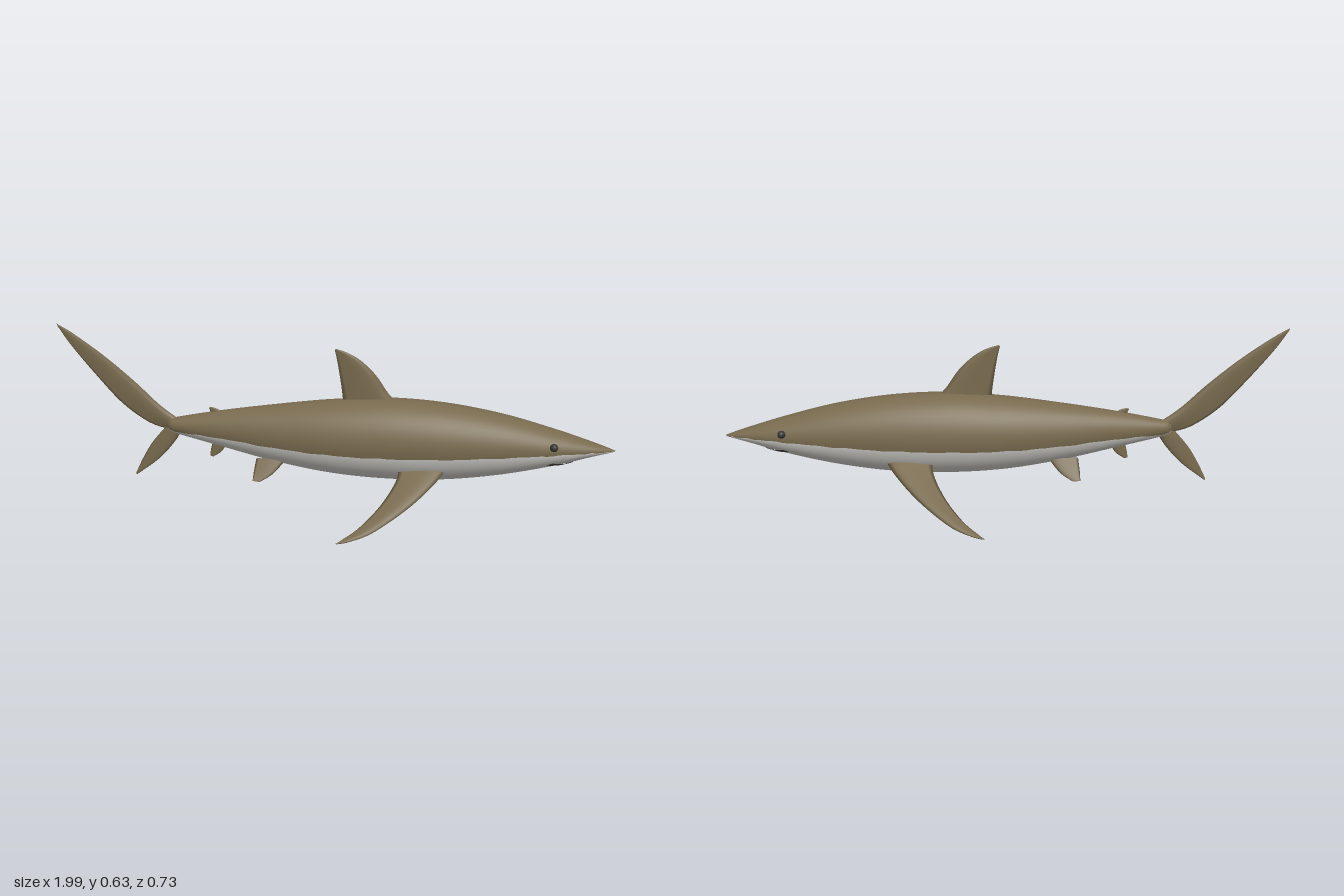
import * as THREE from 'three';

const paint = (name, color) => {
  const m = new THREE.MeshStandardMaterial({ color });
  m.name = name;
  return m;
};
const V = (x, y, z = 0) => new THREE.Vector3(x, y, z);
const smoothCurve = (pts) => new THREE.CatmullRomCurve3(pts, false, 'catmullrom', 0.5);

// Skins closed rings of points; pick(i, j) gives the material index of each quad.
function loft(name, rings, materials, pick) {
  const n = rings[0].length;
  const buckets = materials.map(() => []);
  for (let i = 0; i < rings.length - 1; i++) {
    for (let j = 0; j < n; j++) {
      const k = (j + 1) % n;
      const a = i * n + j, b = (i + 1) * n + j, c = (i + 1) * n + k, d = i * n + k;
      buckets[pick(i, j)].push(a, b, c, a, c, d);
    }
  }
  const geo = new THREE.BufferGeometry().setFromPoints(rings.flat());
  geo.setIndex(buckets.flat());
  let start = 0;
  buckets.forEach((b, m) => {
    geo.addGroup(start, b.length, m);
    start += b.length;
  });
  geo.computeVertexNormals();
  const mesh = new THREE.Mesh(geo, materials);
  mesh.name = name;
  return mesh;
}

// Lens-section fin between a leading and a trailing edge, from root to tip.
function fin(name, lead, trail, thick, materials, tipFrom = 2) {
  const A = smoothCurve(lead), B = smoothCurve(trail);
  const rows = 24, cols = 10, rings = [];
  const mid = (t) => A.getPoint(t).add(B.getPoint(t)).multiplyScalar(0.5);
  for (let i = 0; i <= rows; i++) {
    const t = i / rows;
    const a = A.getPoint(t), b = B.getPoint(t);
    const span = mid(Math.min(1, t + 0.02)).sub(mid(Math.max(0, t - 0.02)));
    const normal = span.cross(b.clone().sub(a)).normalize();
    const half = i === rows ? 0 : thick * (1 - 0.85 * t) / 2;
    const ring = [];
    for (let j = 0; j < cols * 2; j++) {
      const v = j <= cols ? j / cols : 2 - j / cols;
      const bulge = half * Math.sin(Math.PI * Math.pow(v, 0.65)) * (j <= cols ? 1 : -1);
      ring.push(a.clone().lerp(b, v).addScaledVector(normal, bulge));
    }
    rings.push(ring);
  }
  return loft(name, rings, materials, (i, j) => {
    if (materials.length === 1) return 0;
    if (j >= cols) return 1;
    return i / rows >= tipFrom ? 2 : 0;
  });
}

// Body stations: x, top y, bottom y, half width, height of the colour line
const stations = [
  [-0.605, 0.272, 0.268, 0.002, 0.27], [-0.595, 0.292, 0.25, 0.016, 0.26],
  [-0.56, 0.303, 0.238, 0.03, 0.252], [-0.4, 0.334, 0.2, 0.057, 0.246],
  [-0.2, 0.365, 0.155, 0.09, 0.231], [0, 0.391, 0.124, 0.117, 0.223],
  [0.2, 0.405, 0.113, 0.127, 0.223], [0.4, 0.396, 0.12, 0.122, 0.228],
  [0.6, 0.365, 0.148, 0.103, 0.238], [0.78, 0.319, 0.189, 0.074, 0.247],
  [0.9, 0.283, 0.224, 0.042, 0.25], [0.965, 0.262, 0.241, 0.016, 0.25],
  [0.993, 0.252, 0.248, 0.002, 0.25],
];
const upperCurve = smoothCurve(stations.map((s) => V(s[0], s[1], s[3])));
const lowerCurve = smoothCurve(stations.map((s) => V(s[0], s[2], s[4])));
function section(t) {
  const u = upperCurve.getPoint(t), l = lowerCurve.getPoint(t);
  return { x: u.x, cy: (u.y + l.y) / 2, h: (u.y - l.y) / 2, w: u.z, line: l.z };
}
function sectionAtX(x) {
  let lo = 0, hi = 1;
  for (let i = 0; i < 30; i++) {
    const m = (lo + hi) / 2;
    if (upperCurve.getPoint(m).x < x) lo = m; else hi = m;
  }
  return section(lo);
}

function makeBody(materials) {
  const rings = [], rows = 96, half = 24;
  for (let i = 0; i <= rows; i++) {
    const s = section(i / rows);
    // slight ripple along the colour line
    const line = s.line + 0.002 * Math.sin(i * 1.3) * Math.sin(i * 0.37);
    const a0 = Math.asin(THREE.MathUtils.clamp((line - s.cy) / s.h, -0.9, 0.9));
    const ring = [];
    for (let j = 0; j < half * 2; j++) {
      const a = j < half
        ? a0 + (Math.PI - 2 * a0) * (j / half)
        : Math.PI - a0 + (Math.PI + 2 * a0) * (j / half - 1);
      ring.push(V(s.x, s.cy + s.h * Math.sin(a), s.w * Math.cos(a)));
    }
    rings.push(ring);
  }
  return loft('body', rings, materials, (i, j) => (j < half ? 0 : 1));
}

// Thin curved band lying on the underside of the snout
function makeMouth(material) {
  const pos = [], idx = [], n = 24;
  for (let i = 0; i <= n; i++) {
    const s = (i / n) * 2 - 1, z = s * 0.062;
    const front = 0.855 - 0.075 * s * s;
    for (const x of [front, front - 0.012, front - 0.025]) {
      const b = sectionAtX(x);
      const y = b.cy - b.h * Math.sqrt(Math.max(0, 1 - (z / b.w) ** 2));
      pos.push(x, y - 0.003, z * 1.02);
    }
    if (i < n) {
      for (let k = 0; k < 2; k++) {
        const a = i * 3 + k;
        idx.push(a, a + 1, a + 3, a + 1, a + 4, a + 3);
      }
    }
  }
  const geo = new THREE.BufferGeometry();
  geo.setAttribute('position', new THREE.Float32BufferAttribute(pos, 3));
  geo.setIndex(idx);
  geo.computeVertexNormals();
  const mesh = new THREE.Mesh(geo, material);
  mesh.name = 'mouth';
  return mesh;
}

export function createModel() {
  const model = new THREE.Group();
  model.name = 'shark';
  const brown = paint('brown back', 0x786a4e);
  const pale = paint('pale belly', 0xc9c7c2);
  const dark = paint('dark fin tip', 0x35322f);
  const eyeColor = paint('eye', 0x3a3733);
  const mouthColor = paint('mouth', 0x4a4744);
  mouthColor.side = THREE.DoubleSide;

  model.add(makeBody([brown, pale]), makeMouth(mouthColor));

  // Fins on the centre line
  const flat = (pts) => pts.map(([x, y]) => V(x, y));
  const upright = (name, lead, trail, thick) =>
    model.add(fin(name, flat(lead), flat(trail), thick, [brown]));
  upright('dorsalFin',
    [[0.26, 0.37], [0.207, 0.42], [0.16, 0.487], [0.108, 0.537], [0.06, 0.565], [0.018, 0.578]],
    [[0.045, 0.37], [0.04, 0.42], [0.033, 0.47], [0.023, 0.53], [0.017, 0.558], [0.013, 0.574]], 0.024);
  upright('upperTailLobe',
    [[-0.54, 0.28], [-0.63, 0.345], [-0.72, 0.43], [-0.83, 0.522], [-0.94, 0.6], [-1, 0.635]],
    [[-0.58, 0.25], [-0.67, 0.275], [-0.77, 0.345], [-0.865, 0.45], [-0.95, 0.555], [-0.997, 0.625]], 0.022);
  upright('lowerTailLobe',
    [[-0.545, 0.26], [-0.585, 0.2], [-0.645, 0.135], [-0.733, 0.068]],
    [[-0.61, 0.265], [-0.665, 0.2], [-0.705, 0.135], [-0.735, 0.075]], 0.014);
  upright('secondDorsalFin',
    [[-0.385, 0.315], [-0.412, 0.338], [-0.437, 0.346]],
    [[-0.435, 0.31], [-0.443, 0.333], [-0.447, 0.343]], 0.012);
  upright('analFin',
    [[-0.38, 0.22], [-0.402, 0.18], [-0.436, 0.155]],
    [[-0.435, 0.22], [-0.445, 0.18], [-0.448, 0.158]], 0.01);

  // Paired fins and eyes
  const slope = (pts) => pts.map(([x, z]) => V(x, 0.2355 - 0.647 * z, z));
  for (const side of [1, -1]) {
    const half = new THREE.Group();
    half.name = side > 0 ? 'leftSide' : 'rightSide';
    half.scale.z = side;
    half.add(fin('pectoralFin',
      slope([[0.43, 0.06], [0.387, 0.13], [0.302, 0.225], [0.192, 0.315], [0.12, 0.35], [0.07, 0.363]]),
      slope([[0.25, 0.06], [0.248, 0.13], [0.205, 0.22], [0.143, 0.3], [0.09, 0.345], [0.068, 0.361]]),
      0.026, [pale, brown, dark], 0.6));
    half.add(fin('pelvicFin',
      [V(-0.16, 0.17, 0.045), V(-0.2, 0.127, 0.072), V(-0.245, 0.1, 0.09)],
      [V(-0.265, 0.175, 0.045), V(-0.27, 0.13, 0.072), V(-0.271, 0.103, 0.09)],
      0.012, [pale, brown, dark]));
    const eye = new THREE.Mesh(new THREE.SphereGeometry(0.014, 20, 14), eyeColor);
    eye.name = 'eye';
    eye.position.set(0.78, 0.276, 0.074);
    half.add(eye);
    model.add(half);
  }
  return model;
}
